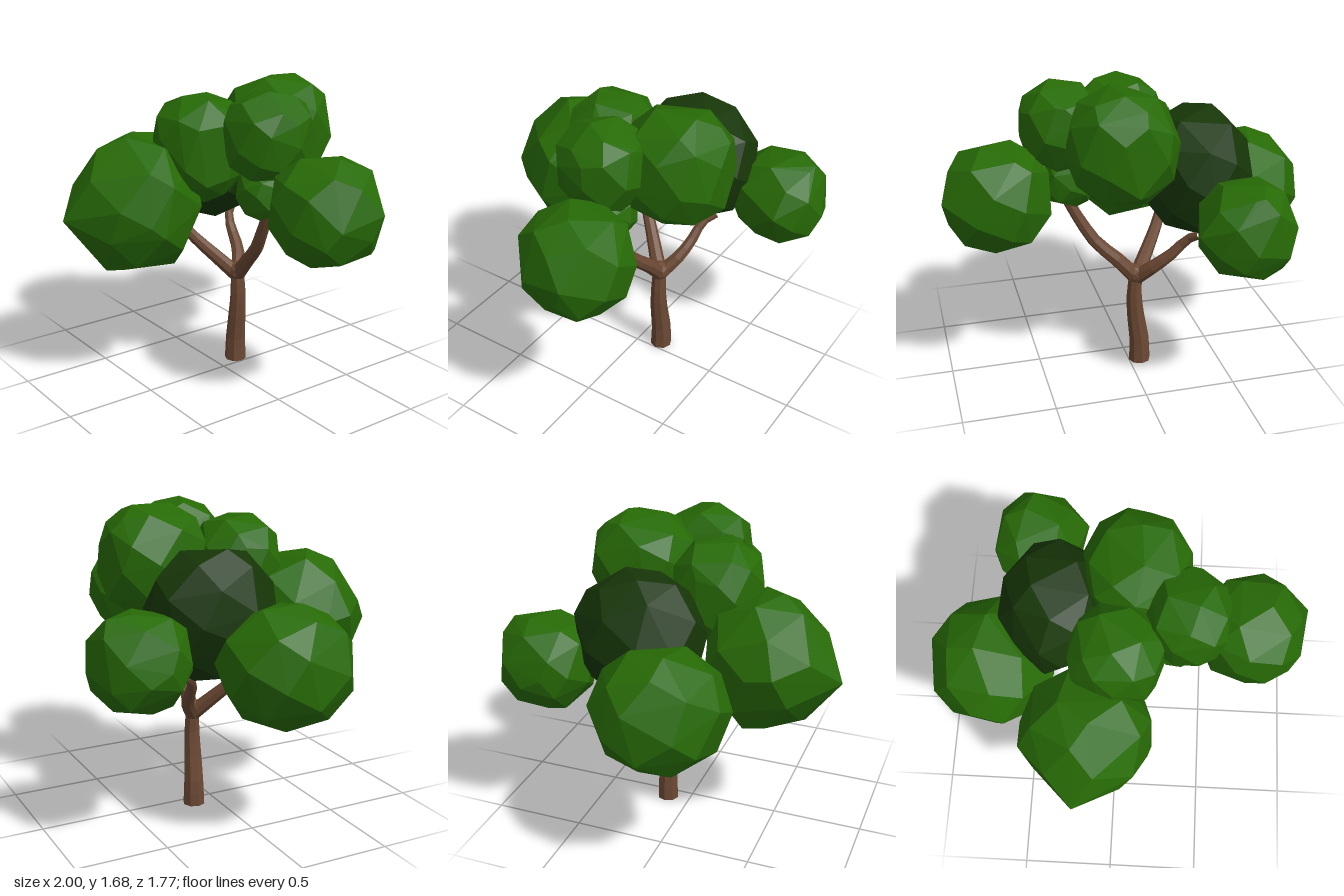
import * as THREE from 'three';
import { ConvexGeometry } from 'three/addons/geometries/ConvexGeometry.js';

const V = (p) => new THREE.Vector3(...p);
const bark = new THREE.MeshStandardMaterial({ color: 0x6b4833, flatShading: true });
const leaf = new THREE.MeshStandardMaterial({ color: 0x276a06, flatShading: true });
const darkLeaf = new THREE.MeshStandardMaterial({ color: 0x173608, flatShading: true });

function seeded(seed) {
  let s = seed * 7919 + 17;
  return () => (s = (s * 16807) % 2147483647) / 2147483647;
}

// Tapering limb: a tube whose rings are rescaled along the path, from radius r0 to r1
function limb(name, points, r0, r1, segments) {
  const curve = new THREE.CatmullRomCurve3(points.map(V));
  const sides = 8;
  const geo = new THREE.TubeGeometry(curve, segments, 1, sides, false);
  const pos = geo.attributes.position;
  const v = new THREE.Vector3();
  for (let i = 0; i < pos.count; i++) {
    const t = Math.floor(i / (sides + 1)) / segments;
    const c = curve.getPointAt(t);
    v.fromBufferAttribute(pos, i).sub(c).multiplyScalar(THREE.MathUtils.lerp(r0, r1, t)).add(c);
    pos.setXYZ(i, v.x, v.y, v.z);
  }
  geo.computeVertexNormals();
  const mesh = new THREE.Mesh(geo, bark);
  mesh.name = name;
  return mesh;
}

// Faceted leaf clump: hull of jittered sphere points fitted to a box, plus corner points.
// A roundness below 1 makes it boxier.
function clump(name, min, max, seed, count, roundness, corners = [], material = leaf) {
  const rand = seeded(seed);
  const full = (n) => Math.sign(n) * Math.abs(n) ** roundness;
  const pts = [];
  for (let i = 0; i < count; i++) {
    const y = 1 - (2 * (i + 0.5)) / count;
    const a = i * 2.39996 + seed;
    const r = Math.sqrt(1 - y * y);
    const j = () => (rand() - 0.5) * 0.22;
    const p = new THREE.Vector3(r * Math.cos(a) + j(), y + j(), r * Math.sin(a) + j()).normalize();
    pts.push(p.set(full(p.x), full(p.y), full(p.z)));
  }
  const from = new THREE.Box3().setFromPoints(pts);
  const size = from.getSize(new THREE.Vector3());
  const lo = V(min), span = V(max).sub(lo);
  pts.forEach((p) => p.sub(from.min).divide(size).multiply(span).add(lo));
  const mesh = new THREE.Mesh(new ConvexGeometry([...pts, ...corners.map(V)]), material);
  mesh.name = name;
  return mesh;
}

export function createModel() {
  const tree = new THREE.Group();
  tree.name = 'tree';

  // Trunk with a closed foot
  tree.add(limb('trunk', [[-0.06, 0, -0.13], [-0.06, 0.12, -0.13], [-0.04, 0.28, -0.125],
    [-0.03, 0.42, -0.125], [-0.04, 0.57, -0.125]], 0.062, 0.037, 8));
  const foot = new THREE.Mesh(new THREE.CircleGeometry(0.062, 8), bark);
  foot.name = 'trunkFoot';
  foot.rotation.x = Math.PI / 2;
  foot.position.set(-0.06, 0.001, -0.13);
  tree.add(foot);

  // Swelling where the branches part
  const fork = new THREE.Mesh(new THREE.IcosahedronGeometry(0.056, 1), bark);
  fork.name = 'fork';
  fork.position.set(-0.04, 0.555, -0.125);
  tree.add(fork);

  // Three main branches
  tree.add(limb('leftBranch', [[-0.04, 0.53, -0.125], [0.05, 0.635, -0.12], [0.18, 0.76, -0.09],
    [0.25, 0.87, -0.07], [0.35, 1.06, -0.05]], 0.044, 0.027, 8));
  tree.add(limb('frontBranch', [[-0.04, 0.53, -0.125], [-0.11, 0.62, -0.05], [-0.2, 0.74, 0.05],
    [-0.27, 0.86, 0.14], [-0.31, 0.9, 0.2]], 0.044, 0.025, 7));
  tree.add(limb('backBranch', [[-0.04, 0.53, -0.125], [-0.13, 0.63, -0.2], [-0.22, 0.71, -0.23],
    [-0.29, 0.79, -0.25], [-0.34, 0.84, -0.31]], 0.044, 0.022, 7));
  // Twig at the front branch tip
  tree.add(limb('frontTwig', [[-0.26, 0.84, 0.12], [-0.25, 0.89, 0.17], [-0.23, 0.93, 0.24]], 0.024, 0.014, 3));

  // Foliage
  tree.add(
    clump('frontFoliage', [-0.49, 0.7, 0.14], [0.2, 1.41, 0.8], 1, 30, 0.95,
      [[-0.2, 1.0, 0.88], [-0.12, 0.71, 0.68], [0.18, 1.0, 0.58], [-0.49, 1.1, 0.59],
        [-0.34, 0.72, 0.4], [0, 0.71, 0.33]]),
    clump('rightFoliage', [-1, 0.62, -0.26], [-0.34, 1.27, 0.43], 2, 34, 1,
      [[-1, 0.8, 0.08], [-0.95, 1.1, 0], [-0.4, 0.69, 0.1]]),
    clump('innerFoliage', [-0.64, 0.82, -0.52], [-0.04, 1.51, 0.19], 3, 34, 1, [], darkLeaf),
    clump('backFoliage', [-0.72, 0.76, -0.89], [-0.23, 1.26, -0.37], 4, 32, 0.87,
      [[-0.2, 1.03, -0.72], [-0.72, 1.0, -0.56], [-0.5, 1.24, -0.8]]),
    clump('crownFoliage', [-0.2, 1.08, -0.58], [0.37, 1.68, 0], 5, 34, 0.87,
      [[0.02, 1.56, -0.56], [0.06, 1.2, -0.57]]),
    clump('leftFoliage', [0.43, 0.83, -0.4], [0.97, 1.38, 0.17], 6, 34, 0.87,
      [[1.0, 1.13, -0.23], [0.44, 0.98, -0.1], [0.9, 0.9, -0.25]]),
    clump('upperLeftFoliage', [0.13, 1.19, -0.27], [0.57, 1.67, 0.21], 7, 32, 0.87,
      [[0.56, 1.52, -0.05], [0.36, 1.58, -0.24]]),
    clump('upperFrontFoliage', [-0.26, 1.04, -0.1], [0.25, 1.61, 0.4], 8, 32, 0.87,
      [[-0.23, 1.46, 0.1], [0.24, 1.2, 0.15], [0.25, 1.49, 0.12]]),
    clump('smallFoliage', [0.17, 0.98, -0.18], [0.45, 1.26, 0.11], 9, 30, 0.87),
  );
  return tree;
}
